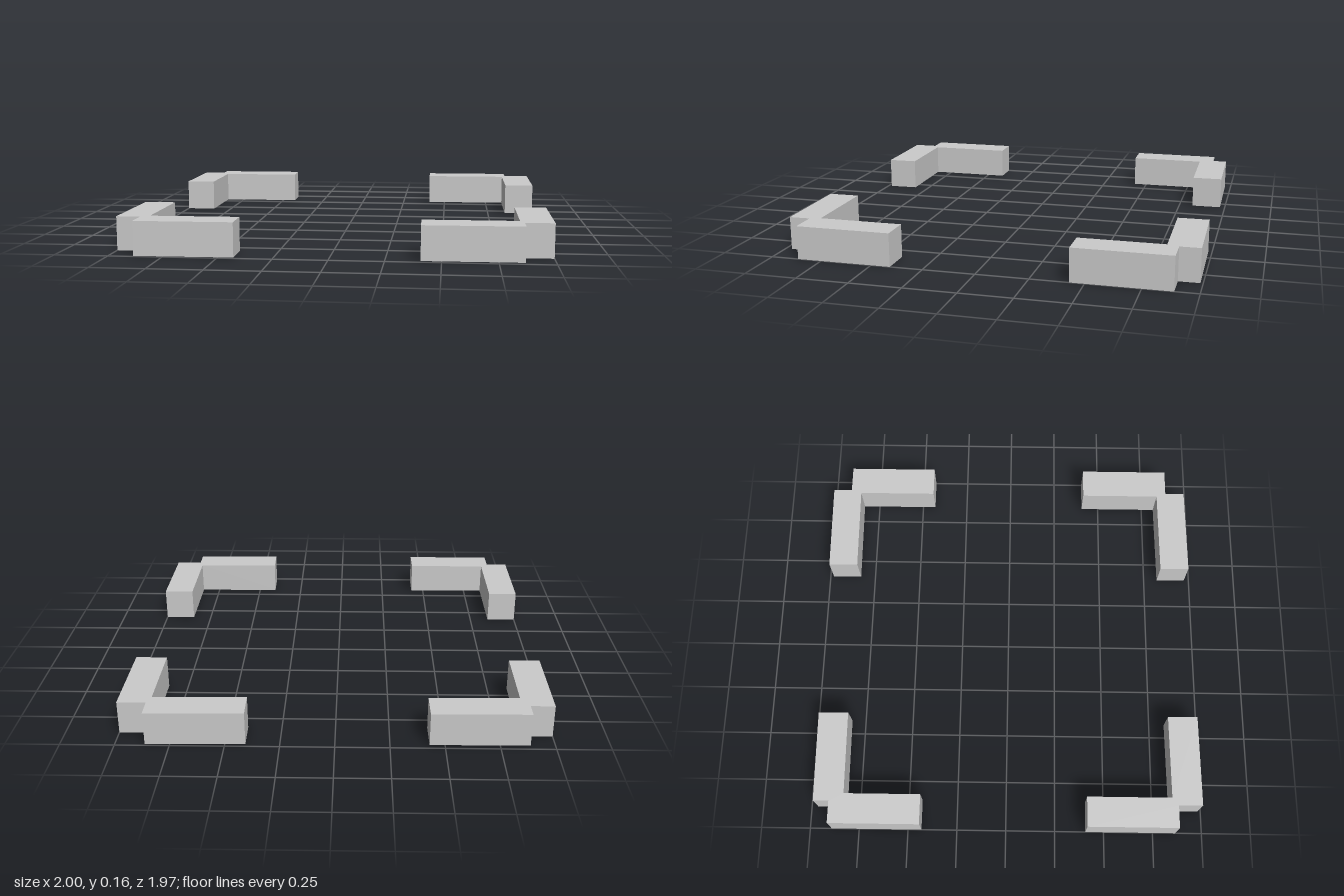
import * as THREE from 'three';

const HEIGHT = 0.16;
const SLOPE = 0.013; // the cross rails are turned very slightly

// An L-shaped corner: a rail running along z joined to a slightly skewed rail along x.
// side: x range (outer, inner) and z range (free end, corner end) of the z rail
// cross: x range (corner end, free end), centre z and half depth of the x rail
function cornerBlock(name, side, cross, material) {
  const [xOuter, xInner, zFree, zCorner] = side;
  const [xCorner, xFree, zMid, half] = cross;
  const out = Math.sign(zMid);
  const xMid = (xCorner + xFree) / 2;
  const edge = (x, offset) => new THREE.Vector2(x + SLOPE * offset, zMid + offset - SLOPE * (x - xMid));

  const outline = new THREE.Shape([
    new THREE.Vector2(xOuter, zFree),
    new THREE.Vector2(xInner, zFree),
    new THREE.Vector2(xInner, edge(xInner, -out * half).y),
    edge(xFree, -out * half),
    edge(xFree, out * half),
    edge(xCorner, out * half),
    new THREE.Vector2(edge(xCorner, 0).x, zCorner),
    new THREE.Vector2(xOuter, zCorner),
  ]);
  const geometry = new THREE.ExtrudeGeometry(outline, { depth: HEIGHT, bevelEnabled: false });
  geometry.rotateX(Math.PI / 2).translate(0, HEIGHT, 0);
  const mesh = new THREE.Mesh(geometry, material);
  mesh.name = name;
  return mesh;
}

export function createModel() {
  const model = new THREE.Group();
  model.name = 'cornerBlocks';
  const material = new THREE.MeshStandardMaterial({ color: 0xcccccc, flatShading: true });

  // x extents of the left (+x) and right (-x) pairs
  const sides = [
    { label: 'Left', rail: [1, 0.847], cross: [0.865, 0.407], zBack: -0.909, zFront: 0.895 },
    { label: 'Right', rail: [-1, -0.849], cross: [-0.887, -0.429], zBack: -0.895, zFront: 0.908 },
  ];
  for (const s of sides) {
    model.add(
      cornerBlock('front' + s.label + 'Corner', [...s.rail, 0.407, 0.866], [...s.cross, s.zFront, 0.076], material),
      cornerBlock('back' + s.label + 'Corner', [...s.rail, -0.431, -0.89], [...s.cross, s.zBack, 0.076], material),
    );
  }
  return model;
}
